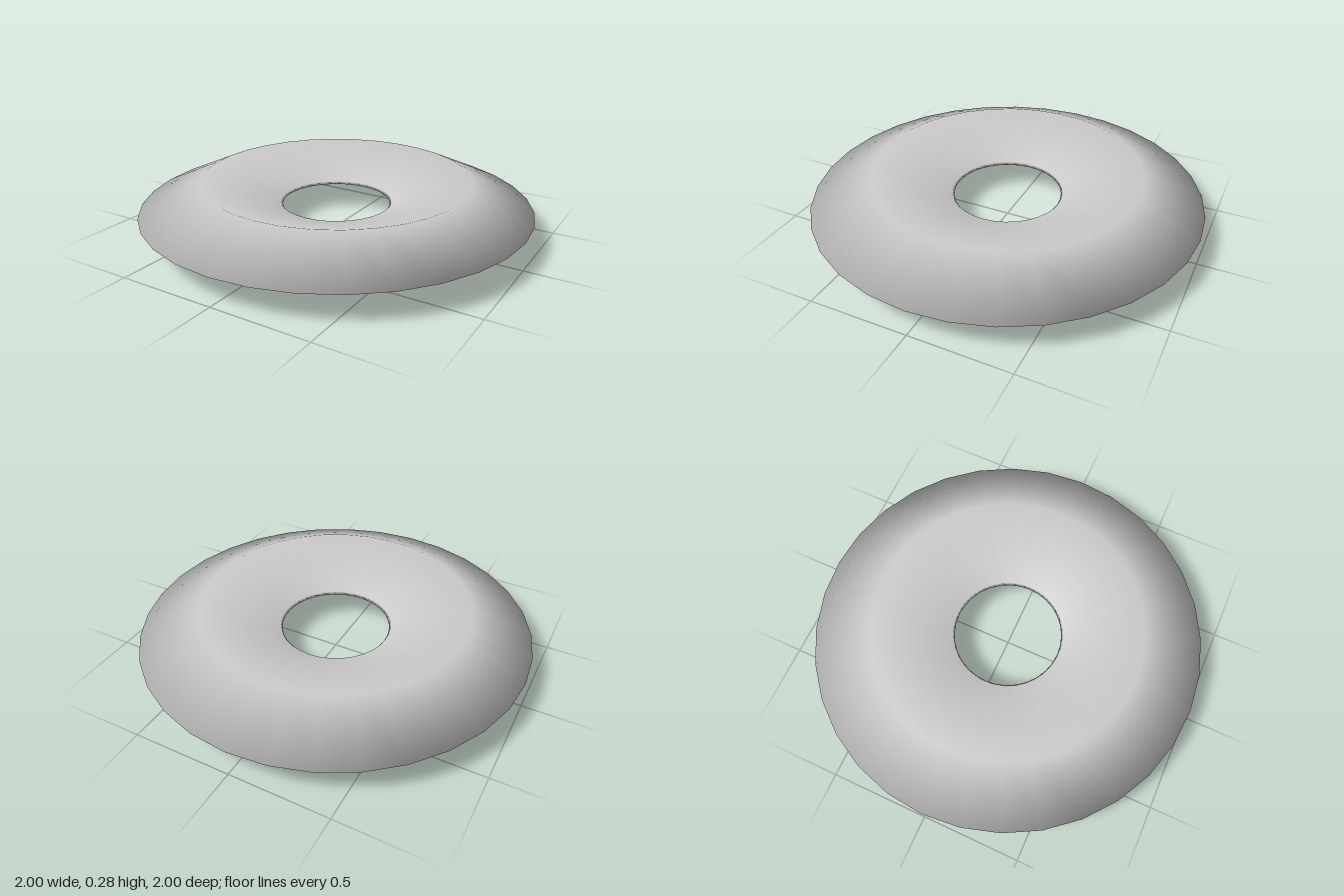
import * as THREE from 'three';
import { mergeVertices } from 'three/addons/utils/BufferGeometryUtils.js';

export function createModel() {
  const group = new THREE.Group();
  group.name = 'ring';

  // Closed cross-section (radius, height), counter-clockwise from the lower hole edge
  const profile = [
    [0.277, 0.134], // lower hole edge
    [0.66, 0],      // underside ridge
    [1, 0.138],     // outer rim
    [0.69, 0.276],  // top ridge
    [0.287, 0.147], // upper hole edge
    [0.277, 0.134], // back to the start
  ].map(([r, y]) => new THREE.Vector2(r, y));

  // Revolve, then weld the seams so the shading stays smooth all round
  let geometry = new THREE.LatheGeometry(profile, 32);
  geometry.deleteAttribute('uv');
  geometry.deleteAttribute('normal');
  geometry = mergeVertices(geometry, 1e-4);
  geometry.computeVertexNormals();

  const disc = new THREE.Mesh(geometry, new THREE.MeshStandardMaterial({ color: 0xcccccc }));
  disc.name = 'ringBody';
  group.add(disc);
  return group;
}
